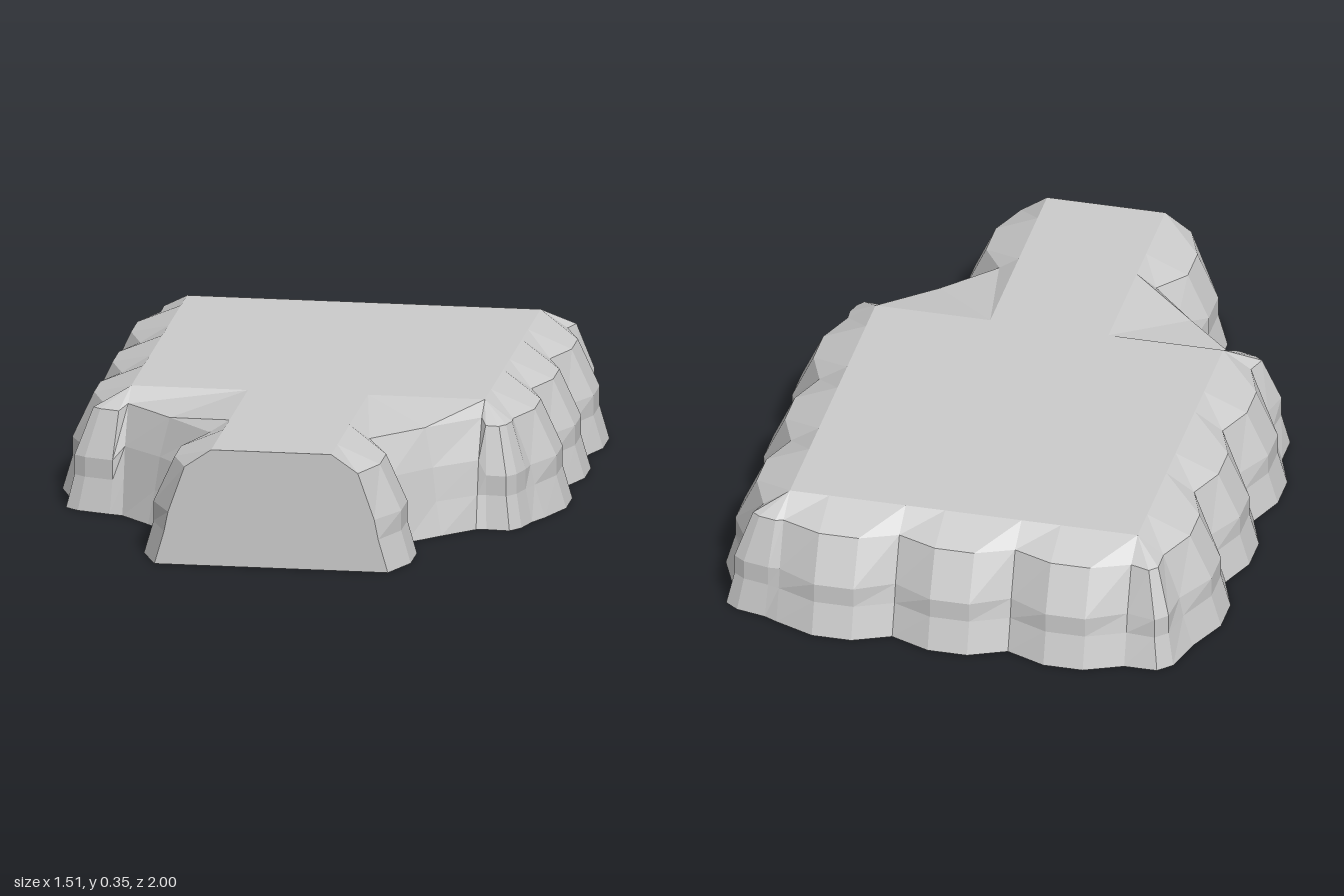
import * as THREE from 'three';

const TOP = 0.355;
// Wall profiles: heights, and fraction of the way from the top rim to the foot
const Y = [0, 0.1, 0.16, 0.3, TOP];
const NOTCH_Y = [0, 0.1, 0.2, 0.315, TOP];
const BULGE = { y: Y, f: [1, 0.87, 0.87, 0.58, 0] };
const CREVICE = { y: Y, f: [1, 0.83, 0.76, 0.47, 0] };
const NOTCH_END = { y: NOTCH_Y, f: [1, 0.86, 0.72, 0.35, 0] };
const NOTCH_MID = { y: NOTCH_Y, f: [1, 0.93, 0.88, 0.78, 0] };

// One vertical column of wall points from rim (tx, tz) to foot (bx, bz)
function column(tx, tz, bx, bz, p) {
  return p.y.map((y, i) => new THREE.Vector3(
    tx + (bx - tx) * p.f[i], y, tz + (bz - tz) * p.f[i]));
}

// Columns of one flank, from the front end to the back corner
function flank(s, frontCorner, backCorner) {
  const cols = [];
  const add = (tx, tz, bx, bz, p) => cols.push(column(s * tx, tz, s * bx, bz, p));
  // Neck with a single boulder bulge
  add(0.18, 1, 0.35, 1, CREVICE);
  add(0.18, 0.88, 0.4, 0.88, BULGE);
  add(0.18, 0.76, 0.4, 0.76, BULGE);
  add(0.18, 0.645, 0.35, 0.645, NOTCH_END);
  // Diagonal notch with its sloping ledge
  add(0.18, 0.29, 0.44, 0.55, NOTCH_MID);
  add(0.53, 0.29, 0.53, 0.46, NOTCH_END);
  frontCorner.forEach(([x, z]) => add(0.53, 0.29, x, z, BULGE));
  // Three boulder bulges along the side
  for (let i = 0; i < 3; i++) {
    const z = 0.29 - i * 0.355;
    add(0.53, z, 0.71, z, CREVICE);
    add(0.53, z - 0.12, 0.755, z - 0.12, BULGE);
    add(0.53, z - 0.24, 0.755, z - 0.24, BULGE);
  }
  add(0.53, -0.78, 0.7, -0.79, CREVICE);
  backCorner.forEach(([x, z]) => add(0.53, -0.78, x, z, BULGE));
  return cols;
}

function outline() {
  const left = flank(1,
    [[0.56, 0.455], [0.63, 0.46], [0.66, 0.42], [0.68, 0.35]],
    [[0.7, -0.88], [0.66, -0.91], [0.57, -0.93]]);
  const right = flank(-1,
    [[0.57, 0.45], [0.67, 0.42], [0.71, 0.39]],
    [[0.67, -0.91], [0.63, -0.95]]);
  // Three boulder bulges along the back
  const back = [];
  for (let i = 0; i < 3; i++) {
    const x = 0.53 - i * 0.353;
    back.push(column(x, -0.78, x, -0.95, CREVICE));
    back.push(column(x - 0.12, -0.78, x - 0.12, -1, BULGE));
    back.push(column(x - 0.24, -0.78, x - 0.24, -1, BULGE));
  }
  back.push(column(-0.53, -0.78, -0.53, -0.95, CREVICE));
  return [...left, ...back, ...right.reverse()];
}

function meshFrom(name, triangles, material) {
  const area = (t) => new THREE.Triangle(...t).getArea();
  const points = triangles.filter((t) => area(t) > 1e-7).flat();
  const geometry = new THREE.BufferGeometry().setFromPoints(points);
  geometry.computeVertexNormals();
  const mesh = new THREE.Mesh(geometry, material);
  mesh.name = name;
  return mesh;
}

// Triangulates a loop of points given in counter-clockwise order
function fill(points, project) {
  return THREE.ShapeUtils.triangulateShape(points.map(project), [])
    .map((t) => t.map((i) => points[i]));
}

export function createModel() {
  const group = new THREE.Group();
  group.name = 'cliffPlateau';
  const material = new THREE.MeshStandardMaterial({ color: 0xcccccc, flatShading: true });
  const cols = outline();

  // Bulging rock walls
  const walls = [];
  for (let i = 0; i < cols.length - 1; i++) {
    const a = cols[i], b = cols[i + 1];
    for (let k = 0; k < Y.length - 1; k++) {
      walls.push([a[k], b[k], b[k + 1]], [a[k], b[k + 1], a[k + 1]]);
    }
  }
  group.add(meshFrom('rockWalls', walls, material));

  // Flat front end of the neck
  const front = [...cols[0], ...cols[cols.length - 1].slice().reverse()];
  group.add(meshFrom('frontEnd', fill(front, (p) => new THREE.Vector2(p.x, p.y)), material));

  // Flat top: plateau and neck
  const rim = [[0.18, 1], [0.18, 0.29], [0.53, 0.29], [0.53, -0.78],
    [-0.53, -0.78], [-0.53, 0.29], [-0.18, 0.29], [-0.18, 1]]
    .map(([x, z]) => new THREE.Vector3(x, TOP, z));
  const plan = (p) => new THREE.Vector2(p.x, -p.z);
  group.add(meshFrom('plateauTop', fill(rim, plan), material));

  // Underside
  const foot = fill(cols.map((c) => c[0]), plan).map((t) => t.reverse());
  group.add(meshFrom('underside', foot, material));
  return group;
}
